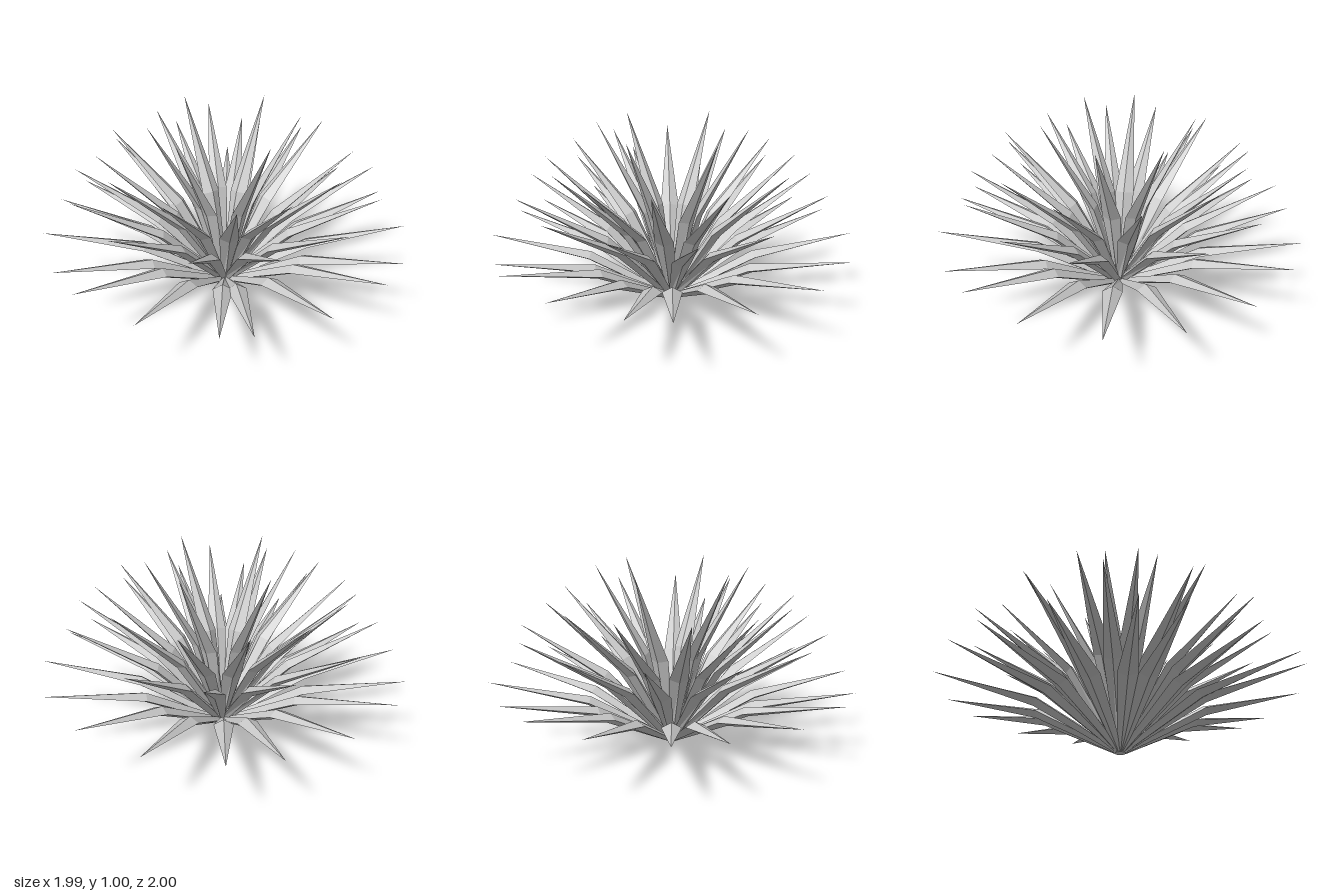
import * as THREE from 'three';

const leafGrey = new THREE.MeshStandardMaterial({ color: 0xcccccc, flatShading: true });
leafGrey.name = 'leaf grey';

const HALF_WIDTH = 0.052, HALF_THICK = 0.026;

// One bent leaf along +x with a diamond section: narrow foot, wide bend, sharp tip
function leafGeometry(bend, tip) {
  const angle = (Math.atan2(bend[1], bend[0]) + Math.atan2(tip[1] - bend[1], tip[0] - bend[0])) / 2;
  const nx = -Math.sin(angle) * HALF_THICK, ny = Math.cos(angle) * HALF_THICK;
  const foot = [[-0.03, 0, 0], [0, 0, 0.018], [0.03, 0, 0], [0, 0, -0.018]];
  const middle = [
    [bend[0] + nx, bend[1] + ny, 0],
    [bend[0], bend[1], HALF_WIDTH],
    [bend[0] - nx, bend[1] - ny, 0],
    [bend[0], bend[1], -HALF_WIDTH],
  ];
  const end = [tip[0], tip[1], 0];
  const points = [];
  const tri = (...corners) => corners.forEach((c) => points.push(...c));
  for (let i = 0; i < 4; i++) {
    const j = (i + 1) % 4;
    tri(foot[i], foot[j], middle[j]);
    tri(foot[i], middle[j], middle[i]);
    tri(middle[i], middle[j], end);
  }
  tri(foot[0], foot[2], foot[1]);
  tri(foot[0], foot[3], foot[2]);
  const geometry = new THREE.BufferGeometry();
  geometry.setAttribute('position', new THREE.Float32BufferAttribute(points, 3));
  geometry.computeVertexNormals();
  return geometry;
}

// Rings from the drooping outside to the upright centre; angles run from +x towards +z
const rings = [
  { name: 'outerLeaves', bend: [0.46, 0.255], tip: [1.0, 0.38],
    angles: [4.7, 26.8, 39.3, 62.4, 85, 94, 117, 140, 153, 176, 198, 213, 236, 258, 273.5, 296, 319, 341] },
  { name: 'lowerMiddleLeaves', bend: [0.37, 0.38], tip: [0.84, 0.66],
    angles: [19, 48, 75, 104, 133.5, 163, 190, 221, 251, 280, 307, 353] },
  { name: 'upperMiddleLeaves', bend: [0.28, 0.45], tip: [0.68, 0.83],
    angles: [4, 35, 65, 88, 118, 150, 176, 205, 236, 264, 292, 328] },
  { name: 'centreLeaves', bend: [0.145, 0.51], tip: [0.41, 1.0],
    angles: [60, 128, 169, 239, 305, 353] },
];

export function createModel() {
  const plant = new THREE.Group();
  plant.name = 'spikyPlant';
  for (const { name, bend, tip, angles } of rings) {
    const ring = new THREE.Group();
    ring.name = name;
    const geometry = leafGeometry(bend, tip);
    for (const degrees of angles) {
      const leaf = new THREE.Mesh(geometry, leafGrey);
      leaf.name = 'leaf';
      leaf.rotation.y = -THREE.MathUtils.degToRad(degrees);
      ring.add(leaf);
    }
    plant.add(ring);
  }
  return plant;
}
